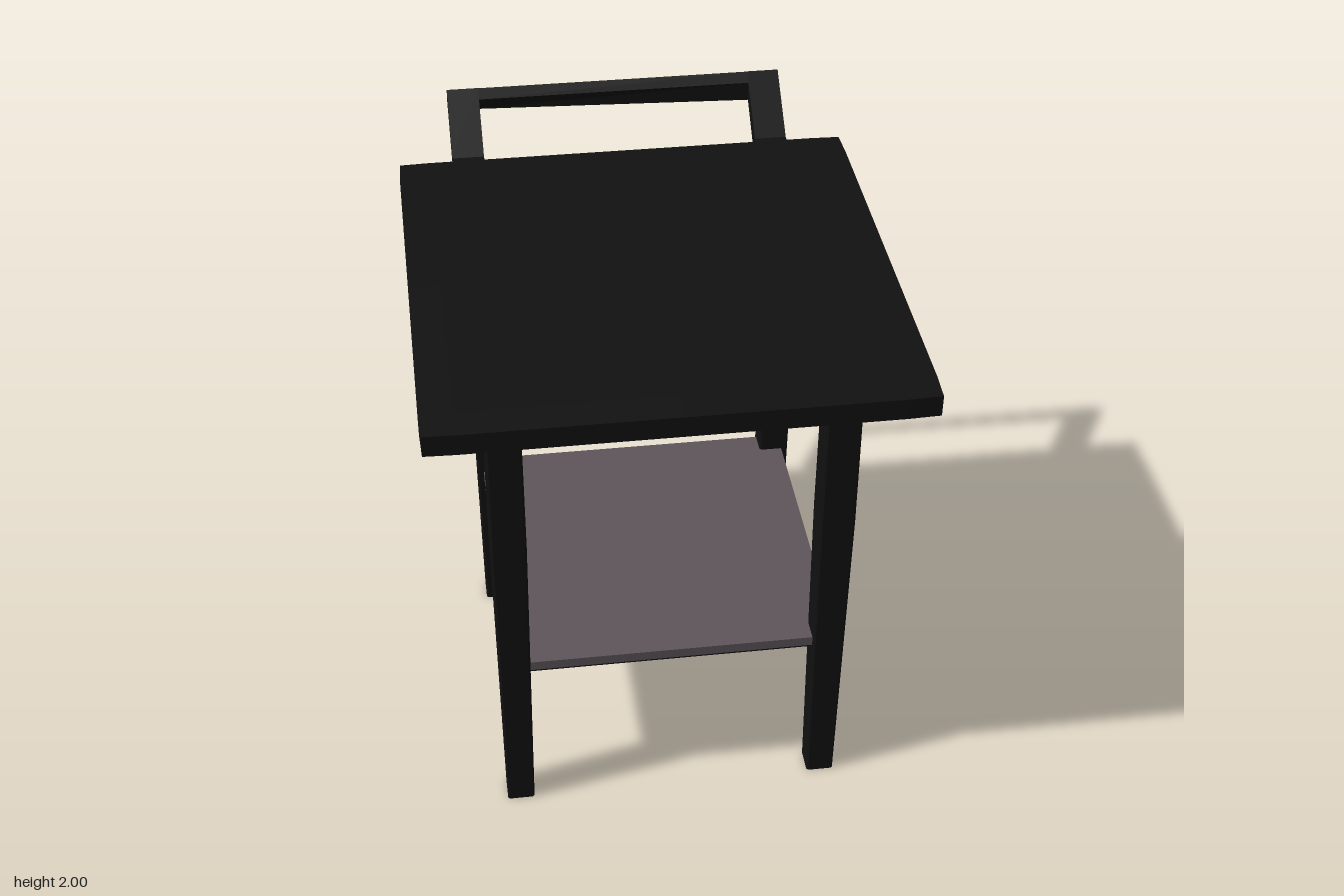
import * as THREE from 'three';

const black = new THREE.MeshStandardMaterial({ color: 0x111111, flatShading: true });
const shelfGrey = new THREE.MeshStandardMaterial({ color: 0x5e555a, flatShading: true });

function addMesh(group, name, geometry, material = black) {
  const mesh = new THREE.Mesh(geometry, material);
  mesh.name = name;
  group.add(mesh);
  return mesh;
}

// Move every vertex of a geometry by a rule
function reshape(geometry, rule) {
  const pos = geometry.attributes.position;
  const v = new THREE.Vector3();
  for (let i = 0; i < pos.count; i++) {
    v.fromBufferAttribute(pos, i);
    rule(v);
    pos.setXYZ(i, v.x, v.y, v.z);
  }
  geometry.computeVertexNormals();
  return geometry;
}

// Extrude a [z, y] outline across x, from x0 to x1
function extrudeX(outline, x0, x1) {
  const shape = new THREE.Shape(outline.map(([z, y]) => new THREE.Vector2(z, y)));
  return new THREE.ExtrudeGeometry(shape, { depth: x1 - x0, bevelEnabled: false })
    .rotateY(-Math.PI / 2)
    .translate(x1, 0, 0);
}

// Square leg with slightly cut corners, narrowing towards the foot
function legGeometry() {
  const r = 0.06, c = 0.008, height = 1.78;
  const shape = new THREE.Shape([
    [-r + c, -r], [r - c, -r], [r, -r + c], [r, r - c],
    [r - c, r], [-r + c, r], [-r, r - c], [-r, -r + c],
  ].map(([x, y]) => new THREE.Vector2(x, y)));
  const geometry = new THREE.ExtrudeGeometry(shape, { depth: height, steps: 6, bevelEnabled: false })
    .rotateX(-Math.PI / 2);
  return reshape(geometry, (v) => {
    const k = v.y < 1.2 ? 0.8 + 0.2 * (v.y / 1.2) : 1 - 0.05 * (v.y - 1.2);
    v.x *= k;
    v.z *= k;
  });
}

export function createModel() {
  const group = new THREE.Group();
  group.name = 'sideTable';
  const centreZ = 0.13;

  // Tabletop, thinning a little at its rim
  const top = new THREE.BoxGeometry(1.62, 0.085, 1.63, 4, 1, 4);
  reshape(top, (v) => {
    const edgeX = Math.abs(v.x) > 0.8, edgeZ = Math.abs(v.z) > 0.8;
    if (edgeX || edgeZ) v.y *= 0.88;
    else {
      v.x *= 1.73;
      v.z *= 1.73;
    }
    if (edgeX && !edgeZ) v.z *= 1.73;
    if (edgeZ && !edgeX) v.x *= 1.73;
    if (edgeX && edgeZ) {
      v.x *= 0.995;
      v.z *= 0.995;
    }
  });
  addMesh(group, 'tabletop', top).position.set(0, 1.7975, 0.125);

  // Four legs
  const leg = legGeometry();
  for (const [end, dz] of [['front', 0.55], ['back', -0.55]])
    for (const [side, x] of [['Left', 0.55], ['Right', -0.55]])
      addMesh(group, `${end}${side}Leg`, leg).position.set(x, 0, centreZ + dz);

  // Lower shelf with a thin dark underside
  addMesh(group, 'shelf', new THREE.BoxGeometry(1.16, 0.036, 1.16), shelfGrey)
    .position.set(0, 0.632, centreZ);
  addMesh(group, 'shelfUnderside', new THREE.BoxGeometry(1.15, 0.01, 1.15))
    .position.set(0, 0.609, centreZ);

  // Handle: two arms bent upwards behind the top
  const handle = new THREE.Group();
  handle.name = 'handle';
  group.add(handle);
  const arm = [[-0.6, 1.77], [-0.6, 1.825], [-0.72, 1.83], [-0.925, 2.0], [-0.94, 1.945], [-0.73, 1.76]];
  addMesh(handle, 'leftHandleArm', extrudeX(arm, 0.5, 0.615));
  addMesh(handle, 'rightHandleArm', extrudeX(arm, -0.615, -0.5));

  // Grip bar, slimmer towards the right
  const bar = [[-0.89, 1.971], [-0.925, 1.999], [-0.939, 1.946], [-0.89, 1.9]];
  addMesh(handle, 'handleBar', reshape(extrudeX(bar, -0.51, 0.51), (v) => {
    if (v.x < 0 && v.y < 1.92) {
      v.y = 1.928;
      v.z = -0.9;
    }
  }));
  return group;
}
